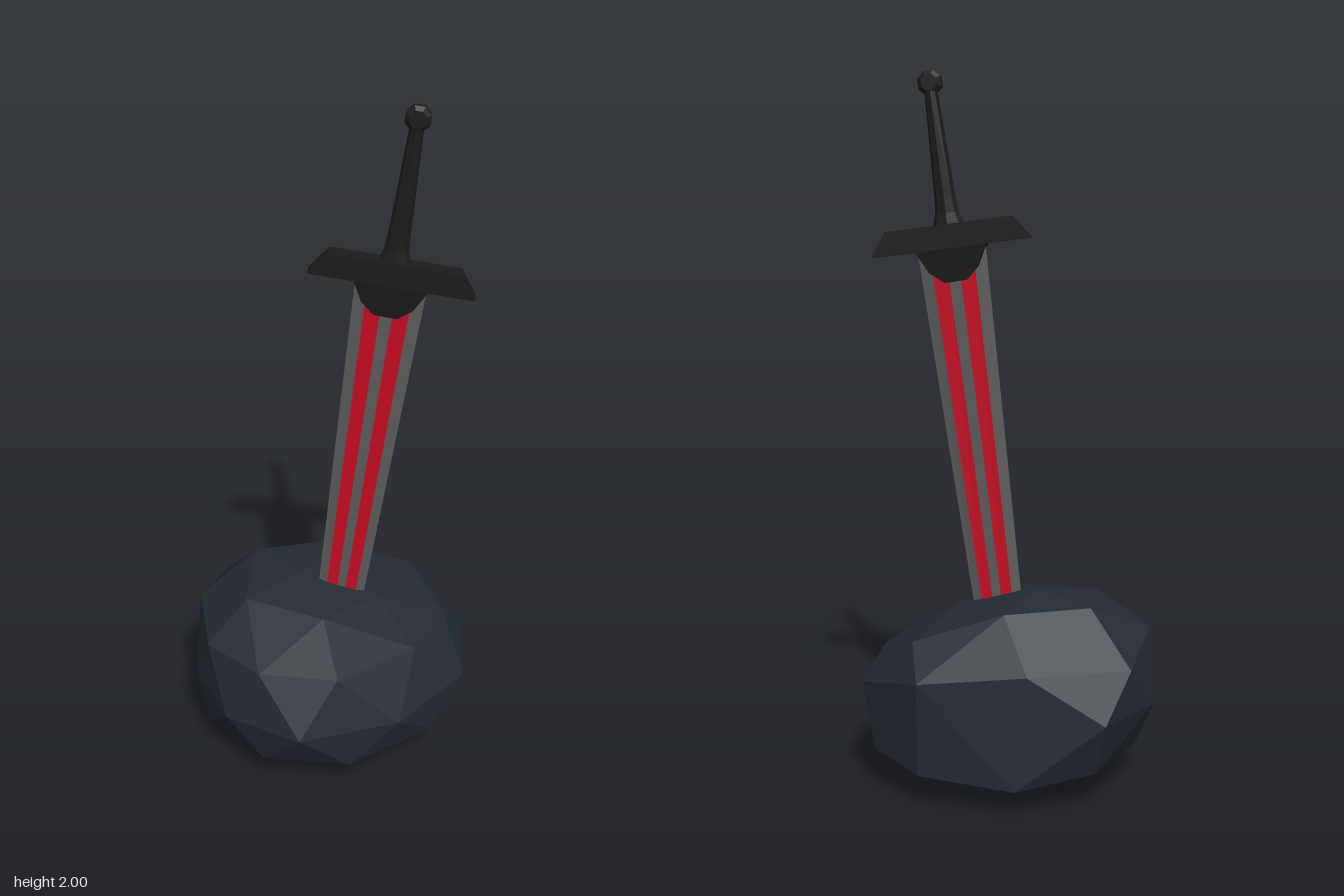
import * as THREE from 'three';
import { ConvexGeometry } from 'three/addons/geometries/ConvexGeometry.js';

const material = (color) => new THREE.MeshStandardMaterial({ color, flatShading: true });
const ROCK = material(0x222b33);
const DARK = material(0x1b1b1b);
const STEEL = material(0x5a5a5a);
const RED = material(0xc40c22);

// Move every vertex of a geometry by a rule
function reshape(geometry, rule) {
  const p = geometry.attributes.position;
  const v = new THREE.Vector3();
  for (let i = 0; i < p.count; i++) {
    rule(v.fromBufferAttribute(p, i));
    p.setXYZ(i, v.x, v.y, v.z);
  }
  geometry.computeVertexNormals();
  return geometry;
}

function add(parent, name, geometry, mat) {
  const mesh = new THREE.Mesh(geometry, mat);
  mesh.name = name;
  parent.add(mesh);
  return mesh;
}

// Faceted boulder: hull of a few corner points, from the crown down to the base
function rockGeometry() {
  const corners = [
    [-0.08, 0.545, -0.05], [-0.25, 0.525, -0.17], [-0.24, 0.515, 0.08], [0, 0.505, 0.14],
    [-0.02, 0.52, -0.26], [0.23, 0.44, -0.28], [0.15, 0.485, -0.02], [0.35, 0.38, -0.1], [0.27, 0.4, 0.11],
    [-0.17, 0.41, 0.3], [0.06, 0.41, 0.3], [-0.34, 0.42, 0.19], [-0.405, 0.44, -0.03], [-0.37, 0.38, -0.26],
    [-0.1, 0.38, -0.365], [0.2, 0.35, -0.375], [0.39, 0.3, -0.22], [0.42, 0.25, 0.03], [0.24, 0.25, 0.275],
    [-0.04, 0.245, 0.39], [-0.27, 0.25, 0.31], [-0.4, 0.25, 0.11], [-0.425, 0.25, -0.14], [-0.31, 0.25, -0.35],
    [-0.07, 0.07, -0.392], [0.2, 0.09, -0.365], [0.35, 0.11, -0.24], [0.4, 0.13, -0.06], [0.33, 0.12, 0.14],
    [0.1, 0.11, 0.32], [-0.16, 0.11, 0.32], [-0.35, 0.11, 0.17], [-0.37, 0.11, -0.08], [-0.28, 0.1, -0.3],
    [-0.27, 0.03, 0], [-0.15, 0.01, 0.14], [0.1, 0.015, 0.14], [0.21, 0.02, 0],
    [0, 0, -0.2], [-0.2, 0.03, -0.25], [0.2, 0.03, -0.28], [0, 0.03, -0.345],
  ];
  return new ConvexGeometry(corners.map((c) => new THREE.Vector3(...c)));
}

// One lengthwise strip of the blade; u runs from -1 to 1 across its width
function bladeStrip(u0, u1) {
  return reshape(new THREE.BoxGeometry(1, 1, 1), (v) => {
    const u = v.x < 0 ? u0 : u1;
    const top = v.y > 0;
    v.x = u * (top ? 0.098 : 0.066);
    v.y = top ? -0.02 : -1.2;
    v.z = Math.sign(v.z) * (Math.abs(u) > 0.9 ? 0.003 : 0.01);
  });
}

function createSword() {
  const sword = new THREE.Group();
  sword.name = 'sword';

  // Blade: steel and red strips side by side
  const blade = new THREE.Group();
  blade.name = 'blade';
  sword.add(blade);
  add(blade, 'bladeCenter', bladeStrip(-0.18, 0.18), STEEL);
  for (const [side, s] of [['Left', 1], ['Right', -1]]) {
    const strip = (a, b) => (s > 0 ? bladeStrip(a, b) : bladeStrip(-b, -a));
    add(blade, 'bladeStripe' + side, strip(0.18, 0.64), RED);
    add(blade, 'bladeEdge' + side, strip(0.64, 1), STEEL);
  }

  // Crossguard with slanted ends
  add(sword, 'crossguard', reshape(new THREE.BoxGeometry(1, 1, 1), (v) => {
    v.x *= v.y > 0 ? 0.36 : 0.456;
    v.y = v.y > 0 ? 0.034 : -0.033;
    v.z *= 0.05;
  }), DARK);

  // Rounded collar over the top of the blade, thinning downwards
  const outline = [[0.102, -0.03], [-0.102, -0.03], [-0.072, -0.092], [-0.035, -0.126],
    [0.03, -0.128], [0.07, -0.095]].map((p) => new THREE.Vector2(...p));
  const collar = new THREE.ExtrudeGeometry(new THREE.Shape(outline), { depth: 1, bevelEnabled: false });
  add(sword, 'bladeCollar', reshape(collar, (v) => {
    const half = THREE.MathUtils.mapLinear(v.y, -0.128, -0.03, 0.012, 0.025);
    v.z = v.z > 0.5 ? half : -half;
  }), DARK);

  // Grip: flared at the guard, tapering upwards, with even depth
  const profile = [[0.046, 0.03], [0.034, 0.065], [0.03, 0.11], [0.019, 0.4]];
  const grip = new THREE.LatheGeometry(profile.map((p) => new THREE.Vector2(...p)), 8);
  add(sword, 'grip', reshape(grip, (v) => {
    v.z *= 0.019 / Math.max(0.019, THREE.MathUtils.mapLinear(v.y, 0.03, 0.4, 0.04, 0.019));
  }), DARK);

  // Pommel: bevelled octagonal disc
  const rim = [[0, -0.018], [0.024, -0.018], [0.036, -0.008], [0.036, 0.008], [0.024, 0.018], [0, 0.018]];
  const pommel = add(sword, 'pommel',
    new THREE.LatheGeometry(rim.map((p) => new THREE.Vector2(...p)), 8, Math.PI / 8), DARK);
  pommel.rotation.x = Math.PI / 2;
  pommel.position.y = 0.424;

  sword.position.set(0.168, 1.543, -0.032);
  sword.rotation.z = -0.128;
  return sword;
}

export function createModel() {
  const model = new THREE.Group();
  model.name = 'swordInStone';
  add(model, 'rock', rockGeometry(), ROCK);
  model.add(createSword());
  return model;
}
